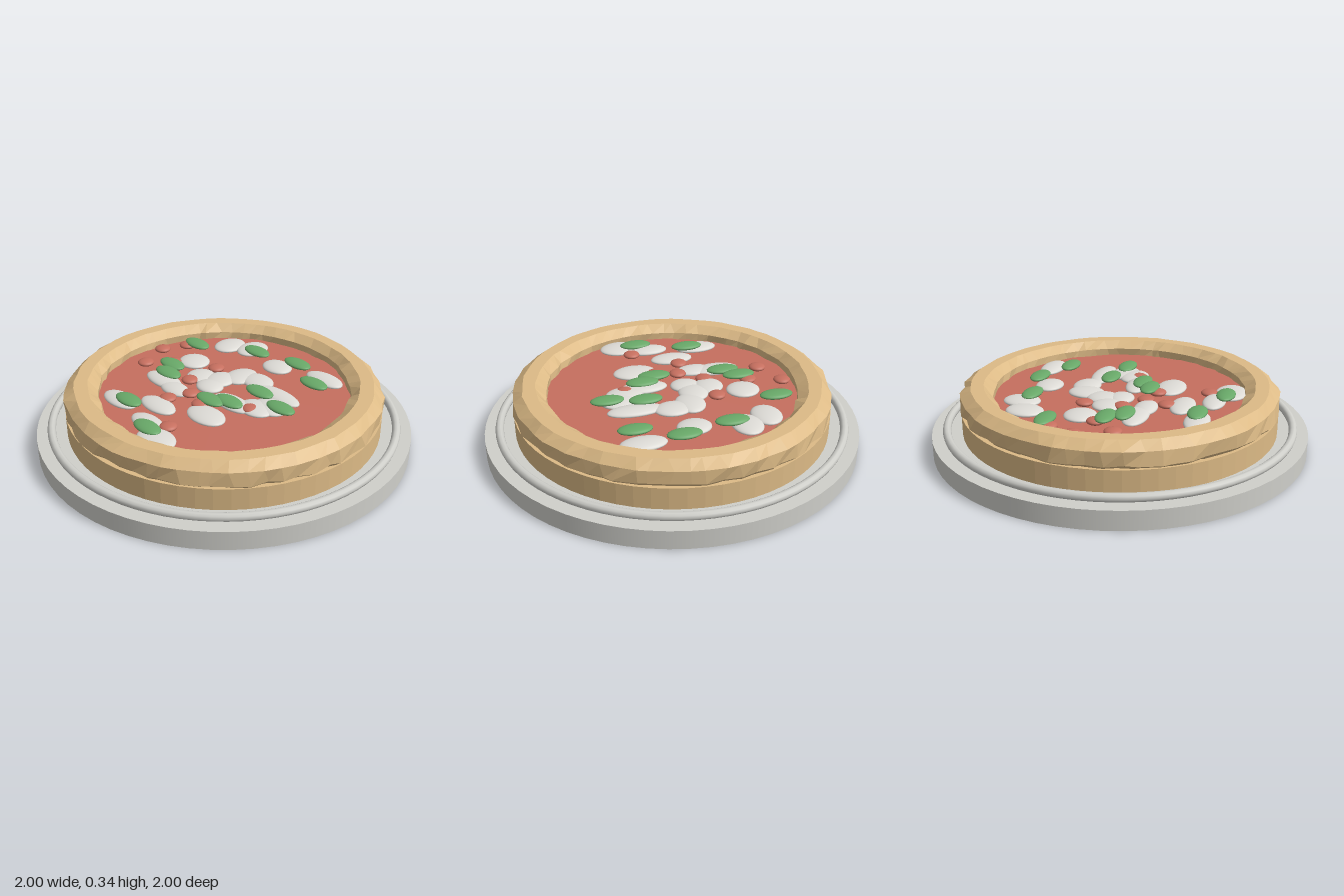
import * as THREE from 'three';

const mat = (name, color, flat = false) => {
  const m = new THREE.MeshStandardMaterial({ color, flatShading: flat });
  m.name = name;
  return m;
};

export function createModel() {
  const group = new THREE.Group();
  const plateGrey = mat('plateGrey', 0xcfcfca);
  const dough = mat('dough', 0xdcba86, true);
  const sauceRed = mat('sauceRed', 0xc66f5f);
  const cheeseWhite = mat('cheeseWhite', 0xdddbd6);
  const leafGreen = mat('leafGreen', 0x68a868);

  const add = (name, geometry, material, x = 0, y = 0, z = 0) => {
    const mesh = new THREE.Mesh(geometry, material);
    mesh.name = name;
    mesh.position.set(x, y, z);
    group.add(mesh);
    return mesh;
  };

  // Plate and its raised ring
  add('plate', new THREE.CylinderGeometry(1, 1, 0.1, 64), plateGrey, 0, 0.05, 0);
  add('plateRing', new THREE.TorusGeometry(0.92, 0.022, 10, 80).rotateX(Math.PI / 2), plateGrey, 0, 0.122, 0);

  // Dough base and sauce
  add('doughBase', new THREE.CylinderGeometry(0.84, 0.84, 0.12, 64), dough, 0, 0.155, 0);
  add('sauce', new THREE.CylinderGeometry(0.72, 0.72, 0.06, 64), sauceRed, 0, 0.232, 0);

  // Uneven crust: a torus with seeded bumps, flattened on top
  const hash = (a, b) => {
    const s = Math.sin(a * 12.9898 + b * 78.233) * 43758.5453;
    return s - Math.floor(s) - 0.5;
  };
  const sides = 8, steps = 64;
  const crust = new THREE.TorusGeometry(0.75, 0.092, sides, steps);
  const p = crust.attributes.position;
  for (let j = 0; j <= sides; j++) {
    for (let i = 0; i <= steps; i++) {
      const a = ((i % steps) + 0.6 * hash(i % steps, j % sides)) / steps * Math.PI * 2;
      const b = ((j % sides) + 0.5) / sides * Math.PI * 2;
      const t = 0.092 + 0.02 * hash(j % sides + 9, i % steps);
      const r = 0.752 + t * Math.cos(b);
      const y = Math.min(0.34, 0.265 + t * Math.sin(b));
      p.setXYZ(j * (steps + 1) + i, r * Math.cos(a), y, -r * Math.sin(a));
    }
  }
  crust.computeVertexNormals();
  add('crust', crust, dough);

  // Toppings are flattened balls
  const ball = new THREE.SphereGeometry(1, 24, 14);
  const blob = (name, material, x, y, z, rx, ry, rz) =>
    add(name, ball, material, x, y, z).scale.set(rx, ry, rz);

  // Cheese slices: x, z, half width, half depth
  [
    [-0.385, -0.39, 0.08, 0.1], [-0.26, -0.455, 0.08, 0.1], [0, -0.4, 0.09, 0.075],
    [0.28, -0.485, 0.12, 0.065], [-0.365, -0.1, 0.09, 0.085], [-0.05, -0.17, 0.08, 0.1],
    [0.05, -0.2, 0.1, 0.075], [-0.1, -0.06, 0.08, 0.09], [-0.2, -0.01, 0.08, 0.08],
    [-0.08, 0.03, 0.08, 0.07], [0.24, -0.165, 0.15, 0.06], [0.3, -0.05, 0.1, 0.08],
    [0.26, 0.01, 0.1, 0.08], [0.14, 0.065, 0.13, 0.065], [0.145, 0.25, 0.12, 0.08],
    [-0.3, 0.17, 0.13, 0.065], [-0.18, 0.19, 0.1, 0.06], [-0.1, 0.365, 0.12, 0.065],
    [-0.28, 0.475, 0.12, 0.065], [0, 0.51, 0.11, 0.06], [0.155, 0.575, 0.115, 0.085],
  ].forEach(([x, z, w, d]) => blob('cheeseSlice', cheeseWhite, x, 0.268, z, w, 0.022, d));

  // Sauce drops: x, z
  [
    [-0.21, -0.13], [-0.55, -0.2], [-0.605, -0.06], [-0.53, 0.12], [-0.08, 0.165],
    [-0.12, 0.285], [0.11, 0.465], [0.25, 0.04], [-0.2, 0.07], [0.04, 0.2], [-0.43, 0],
  ].forEach(([x, z]) => blob('sauceDrop', sauceRed, x, 0.275, z, 0.046, 0.018, 0.046));

  // Basil leaves: x, z
  [
    [-0.5, -0.235], [-0.19, -0.425], [0.075, -0.485], [0.295, -0.38], [0.17, -0.1],
    [0.365, -0.06], [-0.39, 0.04], [-0.325, 0.12], [0.14, 0.09], [0.06, 0.15],
    [-0.22, 0.465], [0.065, 0.56],
  ].forEach(([x, z]) => blob('basilLeaf', leafGreen, x, 0.29, z, 0.09, 0.018, 0.05));

  return group;
}
